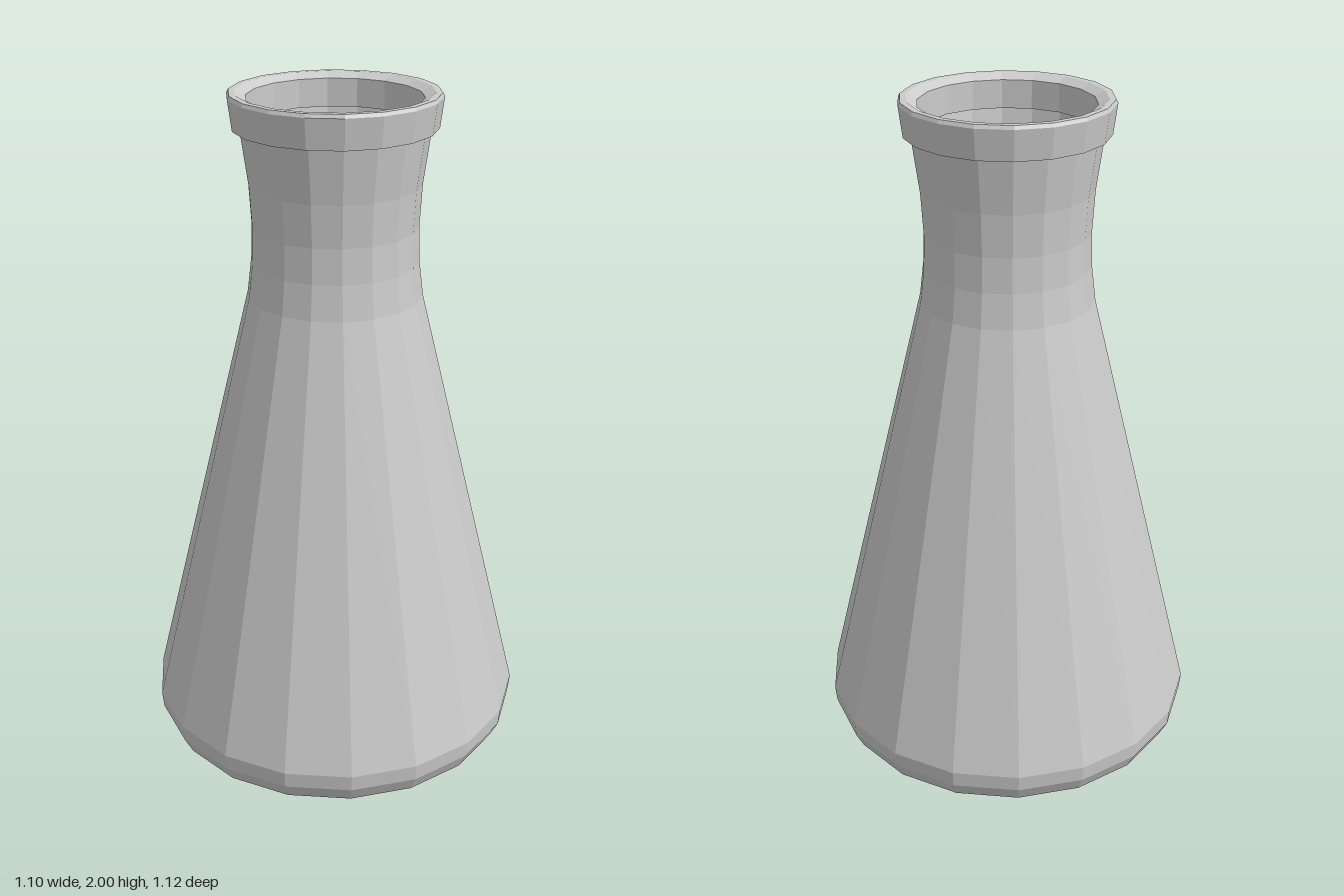
import * as THREE from 'three';

const SIDES = 18;

// Spin a list of [radius, height] pairs into a faceted solid
function turned(name, profile, color) {
  const points = profile.map(([r, y]) => new THREE.Vector2(r, y));
  const mesh = new THREE.Mesh(
    new THREE.LatheGeometry(points, SIDES),
    new THREE.MeshStandardMaterial({ color, flatShading: true })
  );
  mesh.name = name;
  return mesh;
}

export function createModel() {
  const flask = new THREE.Group();
  flask.name = 'conicalFlask';

  // Outer wall: rounded base, straight cone, flared neck
  const outer = [
    [0.40, 0], [0.48, 0.015], [0.53, 0.055], [0.555, 0.105], [0.56, 0.155],
    [0.25, 1.43], [0.238, 1.53], [0.235, 1.63], [0.242, 1.75], [0.264, 1.91],
  ];

  // Inner wall follows the outer one, a glass thickness inside it
  const wall = 0.012;
  const inner = outer.map(([r, y]) => [r - wall, Math.max(y, wall)]);
  flask.add(turned('glassBody',
    [[0, 0], ...outer, ...inner.slice().reverse(), [0, wall]], 0xcccccc));

  // Collar around the mouth, closed ring with bevelled top
  flask.add(turned('lip', [
    [0.243, 1.905], [0.284, 1.905], [0.295, 1.99], [0.29, 2],
    [0.272, 2], [0.243, 1.985], [0.243, 1.905],
  ], 0xcccccc));

  // Liquid filling the lower part of the cone
  const level = 0.8;
  const t = (level - 0.155) / (1.43 - 0.155);
  const surfaceRadius = THREE.MathUtils.lerp(0.56, 0.25, t) - 2 * wall;
  const bed = outer.slice(0, 5).map(([r, y]) => [r - 2 * wall, Math.max(y, 2 * wall)]);
  flask.add(turned('liquid',
    [[0, 2 * wall], ...bed, [surfaceRadius, level], [0, level]], 0x26c9de));

  return flask;
}
